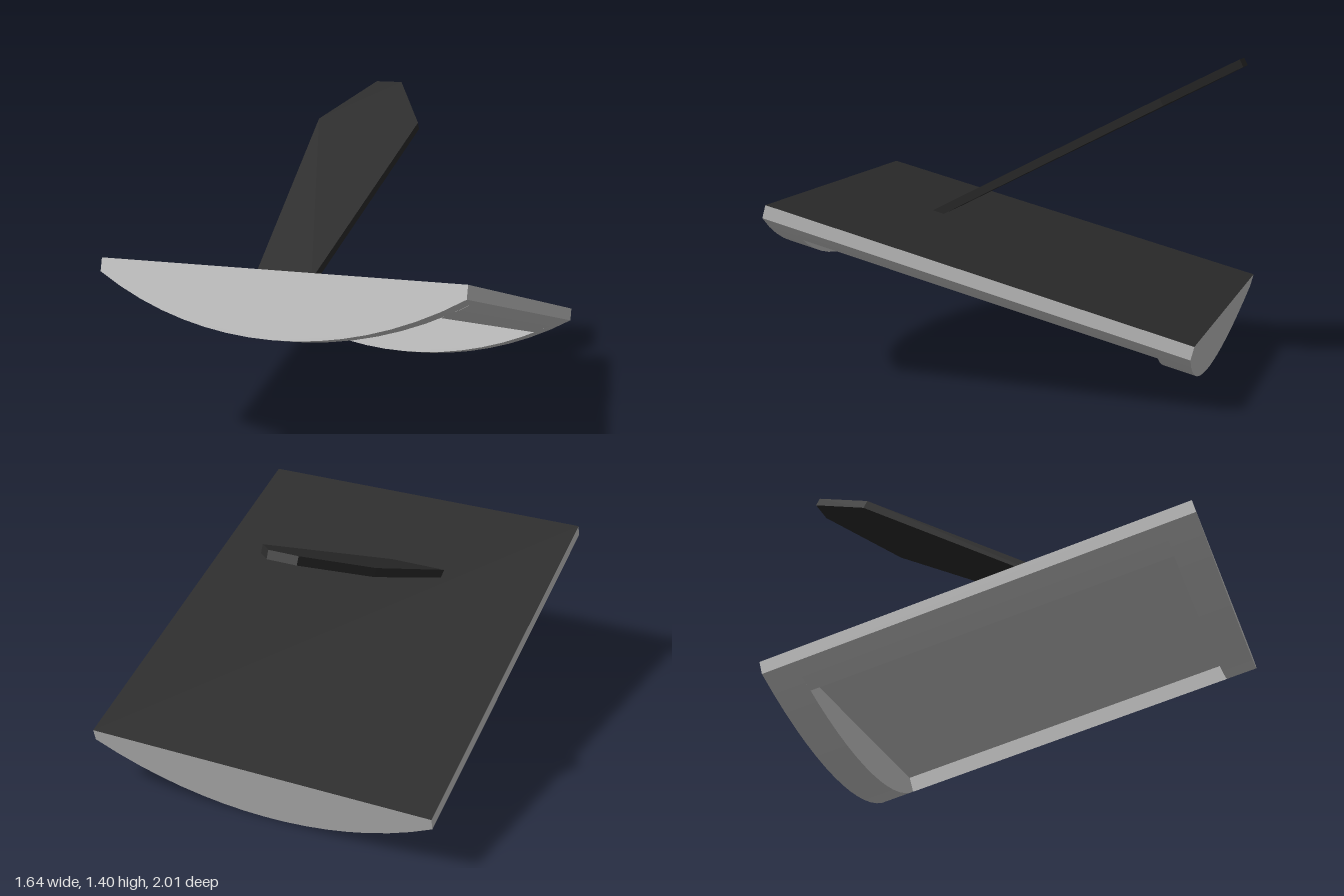
import * as THREE from 'three';

const HALF_W = 0.82, INNER_W = 0.675, LENGTH = 1.96, FOOT = 0.15;
const SLAB = 0.06, DEPTH = 0.29;
const SAG = DEPTH - SLAB;
const RADIUS = (HALF_W ** 2 + SAG ** 2) / (2 * SAG);

const grey = new THREE.MeshStandardMaterial({ color: 0xcccccc });
const dark = new THREE.MeshStandardMaterial({ color: 0x2b2b2b });

// Height of the curved underside at x, measured from the deck top
const arcY = x => RADIUS - DEPTH - Math.sqrt(RADIUS ** 2 - x * x);

// Solid between the slab and the curved underside, from x0 to x1 and z0 to z1
function rocker(name, x0, x1, z0, z1, steps) {
  const pts = [];
  for (let i = 0; i <= steps; i++) {
    const x = x0 + (x1 - x0) * i / steps;
    pts.push(new THREE.Vector2(x, arcY(x)));
  }
  // Close along the slab where the curve has not already reached it
  if (HALF_W - Math.abs(x1) > 0.001) pts.push(new THREE.Vector2(x1, -SLAB));
  if (HALF_W - Math.abs(x0) > 0.001) pts.push(new THREE.Vector2(x0, -SLAB));
  const geo = new THREE.ExtrudeGeometry(new THREE.Shape(pts), { depth: z1 - z0, bevelEnabled: false });
  geo.translate(0, 0, z0);
  const mesh = new THREE.Mesh(geo, grey);
  mesh.name = name;
  return mesh;
}

export function createModel() {
  const model = new THREE.Group();
  model.name = 'rockerBoardWithPaddle';

  // Tilted board, its origin at the centre of the deck top
  const board = new THREE.Group();
  board.name = 'board';
  board.position.set(0, 0.537, -0.018);
  board.rotation.x = -THREE.MathUtils.degToRad(15);
  model.add(board);

  // Flat slab with a dark upper face
  const slabGeo = new THREE.BoxGeometry(HALF_W * 2, SLAB, LENGTH).translate(0, -SLAB / 2, 0);
  const slab = new THREE.Mesh(slabGeo, [grey, grey, dark, grey, grey, grey]);
  slab.name = 'deck';
  board.add(slab);

  // Curved end feet and the side rails that frame the recess below
  const end = LENGTH / 2, inner = end - FOOT;
  board.add(
    rocker('frontFoot', -HALF_W, HALF_W, inner, end, 16),
    rocker('backFoot', -HALF_W, HALF_W, -end, -inner, 16),
    rocker('leftRail', INNER_W, HALF_W, -inner, inner, 2),
    rocker('rightRail', -HALF_W, -INNER_W, -inner, inner, 2)
  );

  // Leaning paddle: half width at each distance along its length
  const profile = [[0.135, 0], [0.262, 1.264], [0.067, 1.629]];
  const outline = [
    ...profile.map(([w, l]) => new THREE.Vector2(w, l)),
    ...profile.map(([w, l]) => new THREE.Vector2(-w, l)).reverse()
  ];
  const paddleGeo = new THREE.ExtrudeGeometry(new THREE.Shape(outline), { depth: 0.038, bevelEnabled: false });
  paddleGeo.translate(0, 0, -0.038);
  const paddle = new THREE.Mesh(paddleGeo, dark);
  paddle.name = 'paddle';
  paddle.position.set(-0.168, 0.658, 0.465);
  paddle.rotation.x = -THREE.MathUtils.degToRad(62.9);
  model.add(paddle);

  return model;
}
